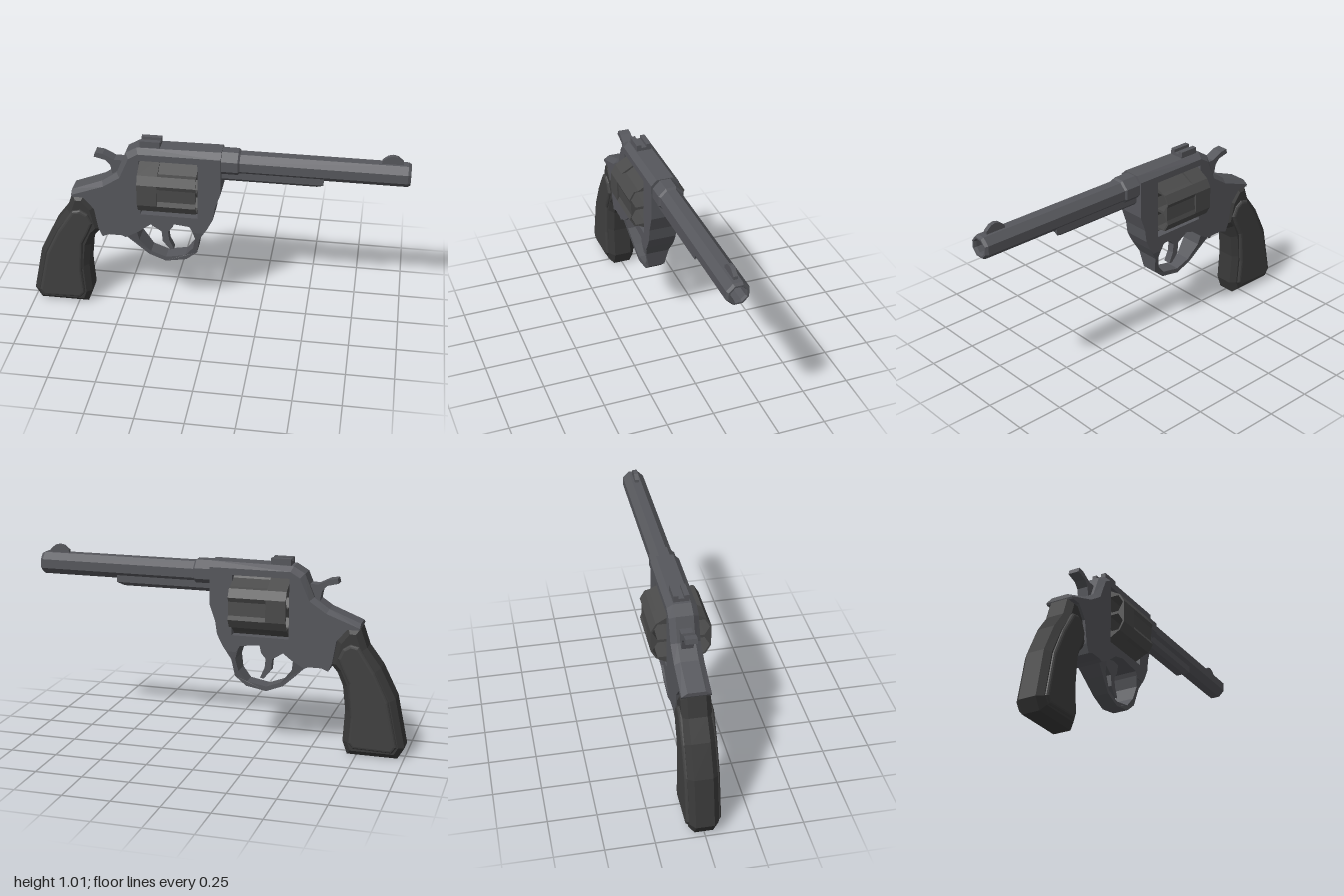
import * as THREE from 'three';

const mat = (color) => new THREE.MeshStandardMaterial({ color, flatShading: true });
const steel = mat(0x56575c), drumSteel = mat(0x4a4a4a), gripDark = mat(0x393939), panelDark = mat(0x404040);

const toPoints = (list) => list.map(([x, y]) => new THREE.Vector2(x, y));

// Side profile in x/y, extruded to a total width centred on z = 0
function slab(outline, width, bevel = 0, segments = 1, holes = []) {
  const shape = new THREE.Shape(toPoints(outline));
  holes.forEach((h) => shape.holes.push(new THREE.Path(toPoints(h))));
  const depth = width - 2 * bevel;
  const geo = new THREE.ExtrudeGeometry(shape, {
    depth, bevelEnabled: bevel > 0, bevelThickness: bevel, bevelSize: bevel,
    bevelOffset: -bevel, bevelSegments: segments,
  });
  return geo.translate(0, 0, -depth / 2);
}

// Closed skin over rings of [x, y, z] points, running from +x to -x
function loft(rings) {
  const n = rings[0].length, pos = [];
  const tri = (a, b, c) => pos.push(...a, ...b, ...c);
  for (let i = 0; i + 1 < rings.length; i++) {
    const a = rings[i], b = rings[i + 1];
    for (let j = 0; j < n; j++) {
      const k = (j + 1) % n;
      tri(a[j], a[k], b[k]);
      tri(a[j], b[k], b[j]);
    }
  }
  const first = rings[0], last = rings[rings.length - 1];
  for (let j = 1; j + 1 < n; j++) {
    tri(first[0], first[j + 1], first[j]);
    tri(last[0], last[j], last[j + 1]);
  }
  const geo = new THREE.BufferGeometry();
  geo.setAttribute('position', new THREE.Float32BufferAttribute(pos, 3));
  geo.computeVertexNormals();
  return geo;
}

// Eight-sided turned part along x; profile is [apothem, x]
function octagonTurn(profile, axisY) {
  const pts = profile.map(([r, x]) => new THREE.Vector2(r / Math.cos(Math.PI / 8), x));
  return new THREE.LatheGeometry(pts, 8, Math.PI / 8).rotateZ(-Math.PI / 2).translate(0, axisY, 0);
}

// Cross-section of the drum with six hexagonal chambers
function drumSection(length, startX, fluted) {
  const rad = THREE.MathUtils.degToRad;
  const polar = (r, deg) => [r * Math.cos(rad(deg)), r * Math.sin(rad(deg))];
  const outline = [], holes = [];
  for (let a = 0; a < 360; a += 60) {
    outline.push(polar(0.164, a - 21));
    if (fluted) outline.push(polar(0.15, a - 14), polar(0.146, a + 14));
    outline.push(polar(0.164, a + 21));
    const [cx, cy] = polar(0.107, a + 30), hex = [];
    for (let h = 0; h < 360; h += 60) {
      const [x, y] = polar(0.053, h);
      hex.push([cx + x, cy + y]);
    }
    holes.push(hex);
  }
  return slab(outline, length, 0, 1, holes).rotateY(Math.PI / 2).translate(startX + length / 2, 0.76, 0);
}

export function createModel() {
  const model = new THREE.Group();
  const add = (name, geo, material = steel) => {
    const mesh = new THREE.Mesh(geo, material);
    mesh.name = name;
    model.add(mesh);
    return mesh;
  };

  // Frame with drum window
  const backInner = [[0.04, 0.955], [-0.39, 0.955], [-0.44, 0.925], [-0.49, 0.81], [-0.58, 0.75], [-0.755, 0.685]];
  const backOuter = [[0.04, 0.985], [-0.4, 0.98], [-0.46, 0.945], [-0.51, 0.825], [-0.59, 0.77], [-0.755, 0.705]];
  const frameOutline = [
    ...backInner, [-0.75, 0.675], [-0.69, 0.675], [-0.635, 0.61], [-0.615, 0.49], [-0.595, 0.445],
    [-0.56, 0.46], [-0.49, 0.46], [-0.47, 0.45], [-0.4, 0.49], [-0.335, 0.54], [-0.26, 0.56],
    [-0.125, 0.545], [-0.105, 0.51], [-0.05, 0.51], [-0.03, 0.54], [0, 0.6], [0.01, 0.67], [0.04, 0.755],
  ];
  const window_ = [[-0.385, 0.6], [-0.08, 0.6], [-0.08, 0.92], [-0.385, 0.92]];
  add('frame', slab(frameOutline, 0.15, 0, 1, [window_]));

  // Chamfered ridge along the top and back of the frame
  add('frameRidge', loft(backInner.map(([x, y], i) => {
    const [ox, oy] = backOuter[i];
    return [[x, y, 0.075], [ox, oy, 0.045], [ox, oy, -0.045], [x, y, -0.075]];
  })));

  // Trigger guard, narrowing downward
  const guard = slab([
    [-0.03, 0.54], [-0.075, 0.465], [-0.09, 0.37], [-0.15, 0.32], [-0.26, 0.3], [-0.35, 0.335],
    [-0.42, 0.4], [-0.47, 0.45], [-0.41, 0.495], [-0.4, 0.43], [-0.34, 0.355], [-0.26, 0.325],
    [-0.155, 0.345], [-0.11, 0.4], [-0.097, 0.47], [-0.115, 0.53],
  ], 0.15);
  const p = guard.attributes.position;
  for (let i = 0; i < p.count; i++) {
    const t = THREE.MathUtils.clamp((p.getY(i) - 0.36) / 0.16, 0, 1);
    p.setZ(i, Math.sign(p.getZ(i)) * THREE.MathUtils.lerp(0.042, 0.075, t));
  }
  add('triggerGuard', guard);

  // Trigger and hammer
  add('trigger', slab([
    [-0.34, 0.57], [-0.21, 0.57], [-0.225, 0.5], [-0.25, 0.47], [-0.245, 0.42], [-0.22, 0.365],
    [-0.24, 0.36], [-0.28, 0.41], [-0.285, 0.47], [-0.34, 0.505],
  ], 0.04));
  add('hammer', slab([
    [-0.625, 0.925], [-0.585, 0.92], [-0.525, 0.89], [-0.47, 0.89], [-0.5, 0.79], [-0.535, 0.8],
    [-0.545, 0.855], [-0.57, 0.885], [-0.632, 0.9],
  ], 0.06));

  // Drum: plain rear, fluted front
  add('drumRear', drumSection(0.105, -0.385, false), drumSteel);
  add('drumFront', drumSection(0.2, -0.28, true), drumSteel);

  // Barrel with open bore, and its collar
  add('barrel', octagonTurn([
    [0.058, 0.04], [0.058, 0.985], [0.05, 1], [0.042, 1], [0.038, 0.985], [0.038, 0.3], [0, 0.3],
  ], 0.912));
  add('barrelCollar', octagonTurn([[0, 0.03], [0.067, 0.03], [0.067, 0.125], [0.058, 0.135]], 0.914));

  // Rod housing under the barrel, with a slanted nose
  const lugRing = (x, noseX) => [
    [noseX, 0.815, 0.022], [x, 0.835, 0.042], [x, 0.875, 0.042],
    [x, 0.875, -0.042], [x, 0.835, -0.042], [noseX, 0.815, -0.022],
  ];
  add('rodHousing', loft([lugRing(0.565, 0.53), lugRing(0.02, 0.02)]));

  // Sights
  add('frontSight', slab([
    [0.85, 0.96], [0.96, 0.96], [0.957, 0.985], [0.93, 1.008], [0.905, 1.014], [0.88, 1.008], [0.852, 0.985],
  ], 0.022));
  add('rearSightBase', new THREE.BoxGeometry(0.105, 0.025, 0.08).translate(-0.332, 0.985, 0));
  for (const side of [-1, 1]) {
    add('rearSightEar', new THREE.BoxGeometry(0.105, 0.04, 0.026).translate(-0.332, 0.994, side * 0.027));
  }

  // Grip with raised side panels
  add('grip', slab([
    [-0.755, 0.68], [-0.69, 0.68], [-0.635, 0.61], [-0.605, 0.48], [-0.64, 0.44], [-0.67, 0.37],
    [-0.685, 0.24], [-0.675, 0.07], [-0.7, 0], [-0.965, 0], [-1, 0.06], [-0.945, 0.32],
    [-0.865, 0.48], [-0.79, 0.58],
  ], 0.15, 0.028), gripDark);
  add('gripPanels', slab([
    [-0.755, 0.59], [-0.71, 0.6], [-0.67, 0.575], [-0.645, 0.52], [-0.67, 0.46], [-0.705, 0.39],
    [-0.72, 0.21], [-0.71, 0.07], [-0.735, 0.04], [-0.94, 0.035], [-0.965, 0.07], [-0.912, 0.31],
    [-0.84, 0.46],
  ], 0.178, 0.016, 3), panelDark);

  return model;
}
